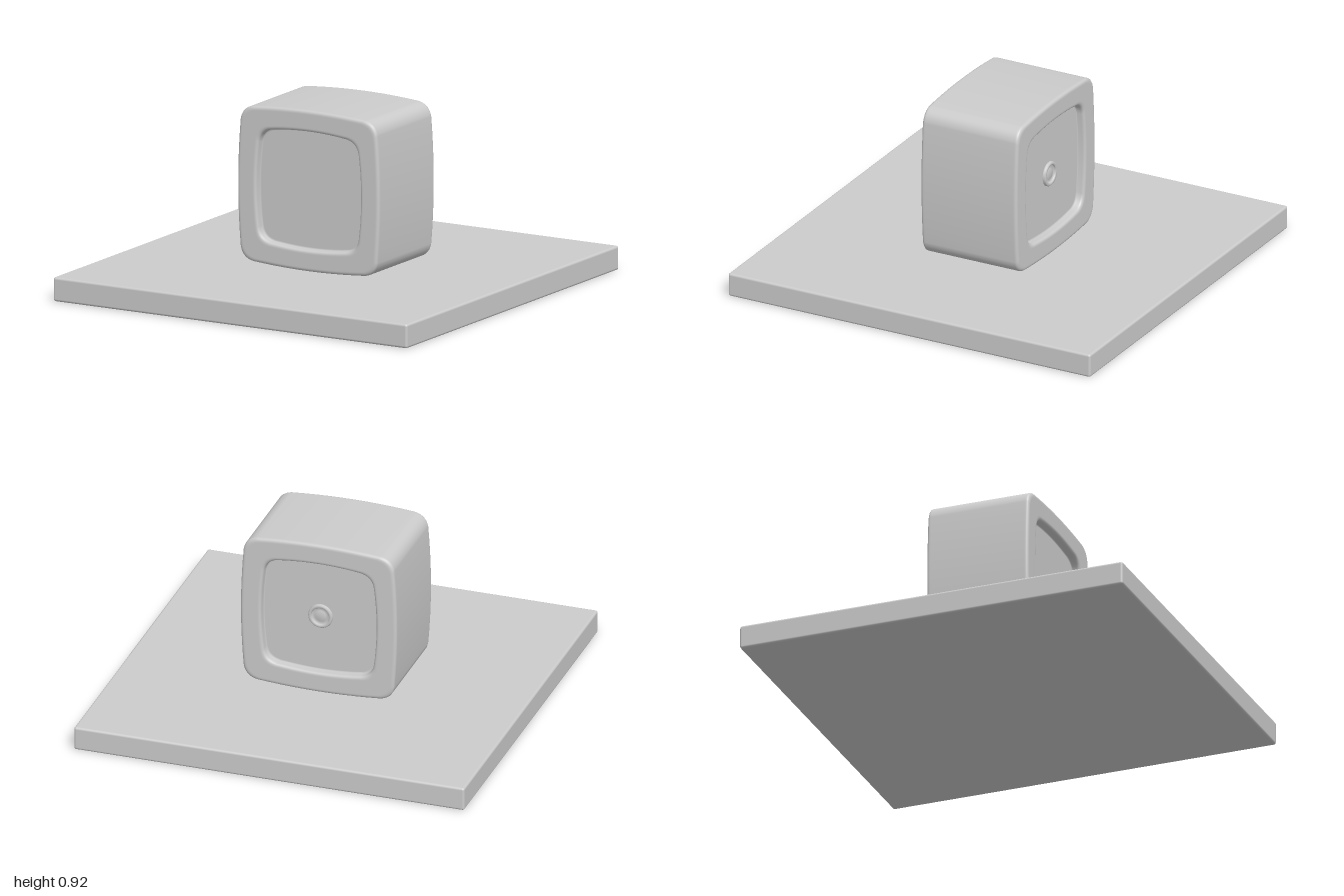
import * as THREE from 'three';
import { RoundedBoxGeometry } from 'three/addons/geometries/RoundedBoxGeometry.js';

const material = new THREE.MeshStandardMaterial({ color: 0xcccccc });

// Rounded square with gently bowed sides; h is the half-width at mid-side
function outline(h, scale = 1) {
  const e = h - 0.014, s = h - 0.085, q = h - 0.024, c = h + 0.014;
  const shape = new THREE.Shape();
  shape.moveTo(e, -s);
  for (let i = 0; i < 4; i++) {
    const turn = (x, y) => [[x, y], [-y, x], [-x, -y], [y, -x]][i];
    shape.quadraticCurveTo(...turn(c, 0), ...turn(e, s));
    shape.quadraticCurveTo(...turn(q, q), ...turn(s, e));
    // The next side starts where this corner ends
  }
  const points = shape.getPoints(10);
  points.pop();
  return points.map((p) => p.multiplyScalar(scale));
}

// Skin over closed sections [half-width, z, scale], running front to back
function loft(sections) {
  const rings = sections.map(([h, , scale]) => outline(h, scale));
  const n = rings[0].length, position = [], index = [];
  rings.forEach((ring, k) => ring.forEach((p) => position.push(p.x, p.y, sections[k][1])));
  for (let k = 0; k < rings.length - 1; k++) {
    for (let i = 0; i < n; i++) {
      const j = (i + 1) % n, a = k * n + i, b = k * n + j;
      index.push(a, a + n, b, b, a + n, b + n);
    }
  }
  const geometry = new THREE.BufferGeometry();
  geometry.setAttribute('position', new THREE.Float32BufferAttribute(position, 3));
  geometry.setIndex(index);
  geometry.computeVertexNormals();
  return geometry;
}

export function createModel() {
  const group = new THREE.Group();
  const add = (name, geometry, x, y, z) => {
    const mesh = new THREE.Mesh(geometry, material);
    mesh.name = name;
    mesh.position.set(x, y, z);
    group.add(mesh);
    return mesh;
  };

  // Square base slab
  add('base', new RoundedBoxGeometry(2, 0.12, 2, 3, 0.012), 0, 0.06, 0);

  // Body: recessed panel, rounded rim and outer wall, mirrored front to back
  const face = 0.265, floor = 0.225;
  const half = [
    [0.292, floor, 0], [0.292, floor, 0.98], [0.292, floor],
    [0.294, floor + 0.004], [0.295, face - 0.016],
  ];
  for (let i = 1; i <= 4; i++) {
    const a = (i / 4) * Math.PI / 2;
    half.push([0.309 - 0.014 * Math.cos(a), face - 0.014 + 0.014 * Math.sin(a)]);
  }
  half.push([0.314, face], [0.38, face]);
  for (let i = 0; i <= 4; i++) {
    const a = (i / 4) * Math.PI / 2;
    half.push([0.385 + 0.015 * Math.sin(a), face - 0.015 + 0.015 * Math.cos(a)]);
  }
  half.push([0.4, face - 0.022]);
  const back = half.map(([h, z, scale]) => [h, -z, scale]).reverse();
  add('body', loft([...half, ...back]), 0, 0.52, 0);

  // Round socket on the back panel: raised collar with a stepped centre
  const profile = [
    [0.062, -0.002], [0.062, 0.01], [0.058, 0.015], [0.049, 0.015],
    [0.045, 0.011], [0.045, 0.003], [0.027, 0.003], [0.025, 0.009], [0, 0.009],
  ].map(([x, y]) => new THREE.Vector2(x, y));
  const socketGeometry = new THREE.LatheGeometry(profile, 32);
  const socket = add('backSocket', socketGeometry, 0, 0.52, -floor);
  socket.rotation.x = -Math.PI / 2;

  return group;
}
